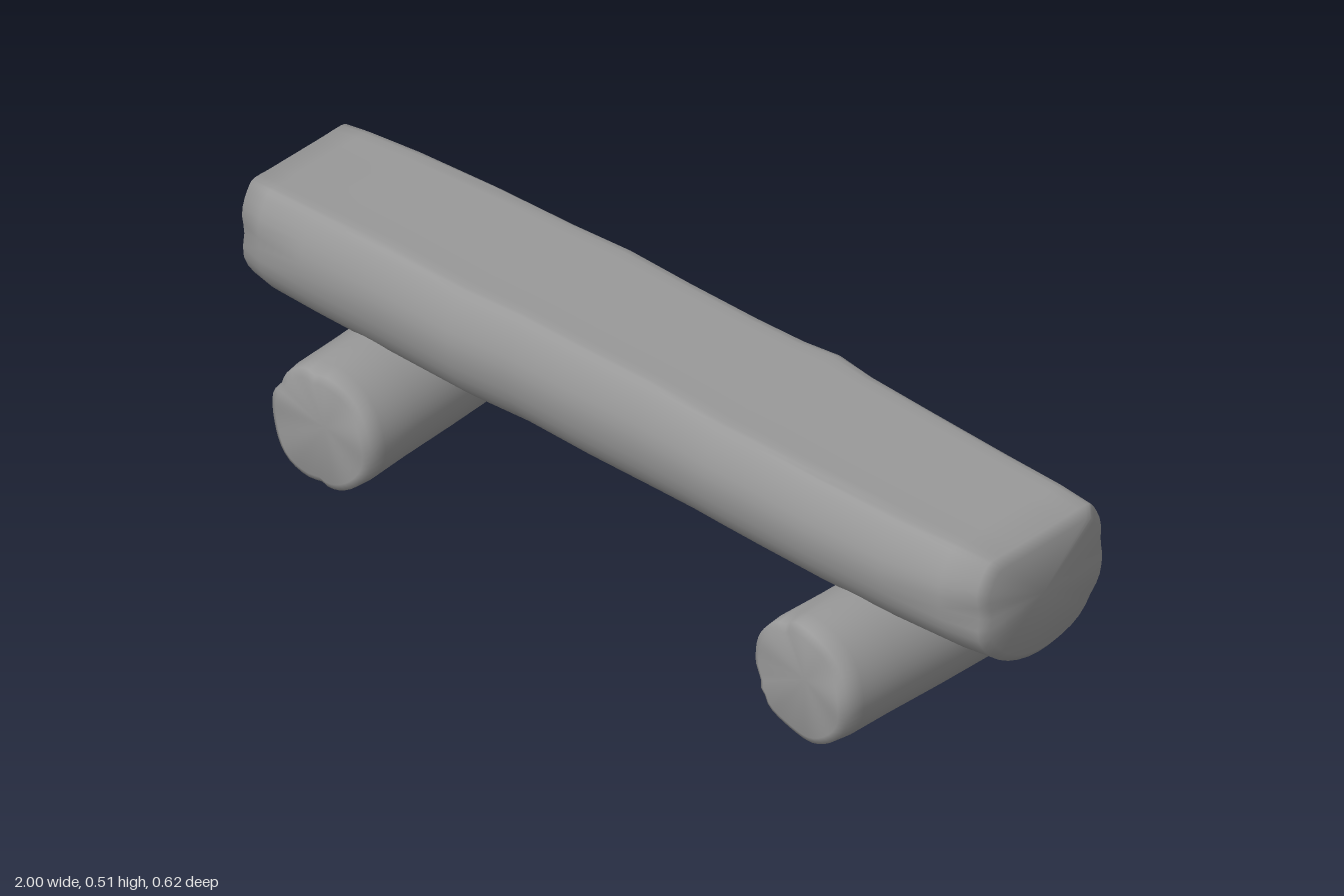
import * as THREE from 'three';
import { toCreasedNormals } from 'three/addons/utils/BufferGeometryUtils.js';

const SIDES = 48;

// Skin a row of closed rings and close both ends around a centre point.
function loft(rings, startCentre, endCentre) {
  const n = rings[0].length, last = (rings.length - 1) * n;
  const points = [...rings.flat(), startCentre, endCentre];
  const index = [];
  for (let i = 0; i < rings.length - 1; i++) {
    for (let j = 0; j < n; j++) {
      const a = i * n + j, b = i * n + (j + 1) % n;
      index.push(a, b, a + n, b, b + n, a + n);
    }
  }
  const s = rings.length * n;
  for (let j = 0; j < n; j++) {
    const k = (j + 1) % n;
    index.push(s, k, j, s + 1, last + j, last + k);
  }
  const geometry = new THREE.BufferGeometry().setFromPoints(points);
  geometry.setIndex(index);
  return toCreasedNormals(geometry, 1.1);
}

// Narrow dent around an angle, used for splits in the cut ends.
function notch(angle, at, width) {
  const d = Math.atan2(Math.sin(angle - at), Math.cos(angle - at));
  return Math.exp(-((d / width) ** 2));
}

// Half-log section: z from -1 (back) to 1 (front), y from 0 (bottom) to 1 (flat top).
const section = new THREE.CatmullRomCurve3([
  [0, 1], [0.45, 1], [0.74, 1], [0.8, 0.98], [0.93, 0.84], [1, 0.64], [0.92, 0.38], [0.66, 0.15],
  [0.28, 0.02], [-0.12, 0], [-0.52, 0.08], [-0.82, 0.27], [-0.95, 0.46], [-1, 0.62],
  [-0.88, 0.85], [-0.77, 0.98], [-0.71, 1], [-0.4, 1],
].map(([z, y]) => new THREE.Vector3(0, y, z)), true);

// Seat stations: x, back z, front z, bottom y, top y
const stations = [
  [-1, -0.2, 0.12, 0.218, 0.465], [-0.99, -0.217, 0.137, 0.206, 0.479],
  [-0.93, -0.218, 0.155, 0.203, 0.488], [-0.8, -0.22, 0.17, 0.206, 0.5],
  [-0.6, -0.225, 0.175, 0.205, 0.508], [-0.4, -0.236, 0.18, 0.205, 0.505],
  [-0.26, -0.246, 0.17, 0.207, 0.506], [-0.1, -0.242, 0.17, 0.202, 0.504],
  [0.08, -0.24, 0.168, 0.201, 0.504], [0.2, -0.246, 0.175, 0.205, 0.503],
  [0.28, -0.265, 0.18, 0.206, 0.5], [0.38, -0.243, 0.183, 0.204, 0.503],
  [0.55, -0.232, 0.19, 0.206, 0.502], [0.75, -0.222, 0.188, 0.208, 0.5],
  [0.9, -0.215, 0.182, 0.212, 0.5], [0.985, -0.21, 0.172, 0.22, 0.495],
  [1, -0.19, 0.15, 0.238, 0.475],
];

function seatGeometry() {
  const rings = stations.map(([x, back, front, bottom, top]) => {
    const nearEnd = THREE.MathUtils.smoothstep(Math.abs(x), 0.88, 0.98);
    return Array.from({ length: SIDES }, (_, j) => {
      const p = section.getPoint(j / SIDES);
      const angle = Math.atan2(p.y - 0.5, p.z);
      const split = notch(angle, 0.1, 0.13) + notch(angle, Math.PI - 0.12, 0.13)
        + 0.6 * notch(angle, Math.PI + 0.35, 0.12);
      const z = p.z * (1 - 0.09 * nearEnd * split);
      const mid = -0.02;
      return new THREE.Vector3(x, bottom + p.y * (top - bottom),
        mid + (z > 0 ? z * (front - mid) : z * (mid - back)));
    });
  });
  return loft(rings, new THREE.Vector3(-0.995, 0.35, -0.03), new THREE.Vector3(0.995, 0.36, -0.02));
}

// Round leg log: position along the length from back to front, radius
const legStations = [
  [0, 0.113], [0.015, 0.129], [0.08, 0.133], [0.25, 0.132], [0.5, 0.133],
  [0.75, 0.132], [0.92, 0.133], [0.985, 0.129], [1, 0.113],
];

// Each end has a centre [x, z] and a tilt of its cut face across x.
function legGeometry(back, front, backTilt, frontTilt, seed) {
  const { lerp, smoothstep } = THREE.MathUtils;
  const rings = legStations.map(([t, r]) => {
    const nearEnd = smoothstep(Math.abs(t - 0.5), 0.34, 0.485);
    return Array.from({ length: SIDES }, (_, j) => {
      const a = (j / SIDES) * Math.PI * 2;
      const split = notch(a, Math.PI / 2 + 0.3 * seed, 0.13) + notch(a, 2.2 + seed, 0.12)
        + 0.7 * notch(a, -1.2 - seed, 0.12);
      const radius = r * (1 + 0.015 * Math.sin(3 * a + seed + 2 * t) - 0.08 * nearEnd * split);
      const tilt = nearEnd * (t < 0.5 ? backTilt : frontTilt) * Math.cos(a);
      const ragged = nearEnd * 0.003 * Math.sin(5 * a + seed);
      return new THREE.Vector3(lerp(back[0], front[0], t) + radius * Math.cos(a),
        0.139 + radius * 1.015 * Math.sin(a), lerp(back[1], front[1], t) + tilt + ragged);
    });
  });
  // Slightly hollow cut faces
  return loft(rings, new THREE.Vector3(back[0], 0.14, back[1] + 0.018),
    new THREE.Vector3(front[0], 0.14, front[1] - 0.018));
}

export function createModel() {
  const group = new THREE.Group();
  group.name = 'logBench';
  const material = new THREE.MeshStandardMaterial({ color: 0x999999 });
  const add = (name, geometry) => {
    const mesh = new THREE.Mesh(geometry, material);
    mesh.name = name;
    group.add(mesh);
  };
  add('seatLog', seatGeometry());
  add('rightLegLog', legGeometry([-0.668, -0.301], [-0.642, 0.287], -0.007, -0.003, 0.4));
  add('leftLegLog', legGeometry([0.664, -0.286], [0.638, 0.298], 0.009, 0.006, 1.3));
  return group;
}
